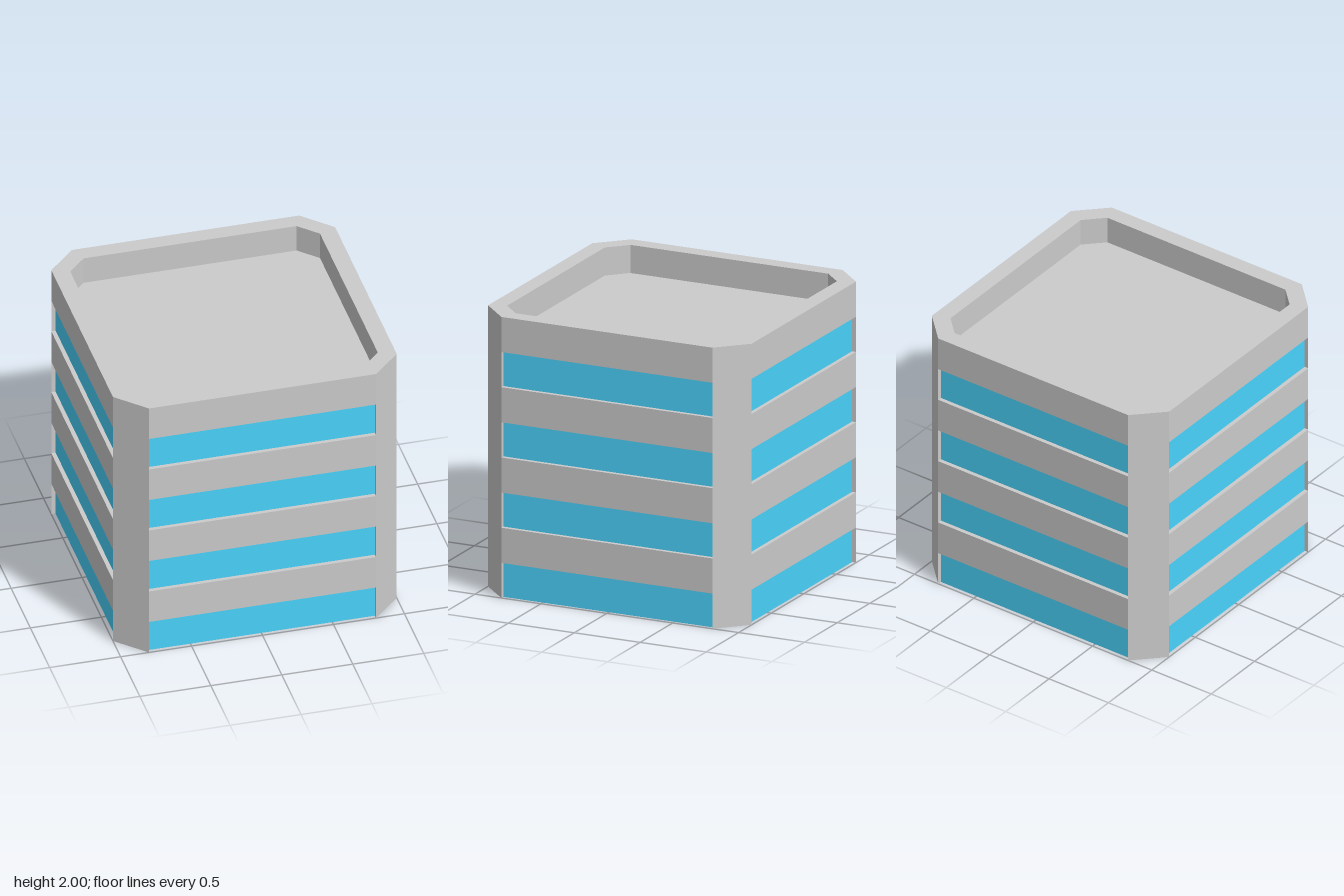
import * as THREE from 'three';

const HALF = 1, FLAT = 0.8;            // outer half width, half length of the flat sides
const IN_HALF = 0.88, IN_FLAT = 0.75;  // inner edge of the parapet
const HEIGHT = 2, ROOF_Y = 1.8, STOREY = 0.5, BAND = 0.25, RECESS = 0.03;

const grey = new THREE.MeshStandardMaterial({ color: 0xcccccc, side: THREE.DoubleSide, flatShading: true });
const blue = new THREE.MeshStandardMaterial({ color: 0x4ad4fd, side: THREE.DoubleSide, flatShading: true });

// Flat panel, w wide and h high, turned and placed
function panel(parent, name, w, h, pos, rot = [0, 0, 0], material = grey) {
  const mesh = new THREE.Mesh(new THREE.PlaneGeometry(w, h), material);
  mesh.name = name;
  mesh.position.set(...pos);
  mesh.rotation.set(...rot);
  parent.add(mesh);
}

// Square outline with cut corners
function octagon(half, flat) {
  return [[flat, half], [-flat, half], [-half, flat], [-half, -flat],
    [-flat, -half], [flat, -half], [half, -flat], [half, flat]]
    .map(([x, y]) => new THREE.Vector2(x, y));
}

function horizontal(parent, name, shape, y) {
  const mesh = new THREE.Mesh(new THREE.ShapeGeometry(shape).rotateX(-Math.PI / 2), grey);
  mesh.name = name;
  mesh.position.y = y;
  parent.add(mesh);
}

// One facade facing +z: four storeys of recessed window and flush band
function buildFacade() {
  const side = new THREE.Group();
  const zGlass = HALF - RECESS, zMid = HALF - RECESS / 2, w = 2 * FLAT;
  for (let y = 0; y < HEIGHT; y += STOREY) {
    const glassH = STOREY - BAND;
    panel(side, 'window', w, glassH, [0, y + glassH / 2, zGlass], [0, 0, 0], blue);
    panel(side, 'band', w, BAND, [0, y + glassH + BAND / 2, HALF]);
    panel(side, 'windowHead', w, RECESS, [0, y + glassH, zMid], [Math.PI / 2, 0, 0]);
    if (y > 0) panel(side, 'windowSill', w, RECESS, [0, y, zMid], [-Math.PI / 2, 0, 0]);
    for (const s of [-1, 1]) {
      panel(side, 'windowJamb', RECESS, glassH, [s * FLAT, y + glassH / 2, zMid], [0, -s * Math.PI / 2, 0]);
    }
  }
  return side;
}

export function createModel() {
  const model = new THREE.Group();
  model.name = 'buildingBlock';
  const parapetH = HEIGHT - ROOF_Y, parapetY = (HEIGHT + ROOF_Y) / 2;

  for (let i = 0; i < 4; i++) {
    // Facade with the parapet lining behind it
    const side = buildFacade();
    side.name = 'facade';
    panel(side, 'parapetInside', 2 * IN_FLAT, parapetH, [0, parapetY, IN_HALF], [0, Math.PI, 0]);
    side.rotation.y = i * Math.PI / 2;
    model.add(side);

    // Cut corner with its parapet lining
    const corner = new THREE.Group();
    corner.name = 'corner';
    panel(corner, 'cornerColumn', (HALF - FLAT) * Math.SQRT2, HEIGHT, [0, HEIGHT / 2, (HALF + FLAT) / Math.SQRT2]);
    panel(corner, 'cornerParapetInside', (IN_HALF - IN_FLAT) * Math.SQRT2, parapetH,
      [0, parapetY, (IN_HALF + IN_FLAT) / Math.SQRT2], [0, Math.PI, 0]);
    corner.rotation.y = (i + 0.5) * Math.PI / 2;
    model.add(corner);
  }

  // Parapet top and sunken roof
  const rim = new THREE.Shape(octagon(HALF, FLAT));
  rim.holes.push(new THREE.Path(octagon(IN_HALF, IN_FLAT)));
  horizontal(model, 'parapetTop', rim, HEIGHT);
  horizontal(model, 'roof', new THREE.Shape(octagon(IN_HALF, IN_FLAT)), ROOF_Y);
  return model;
}
